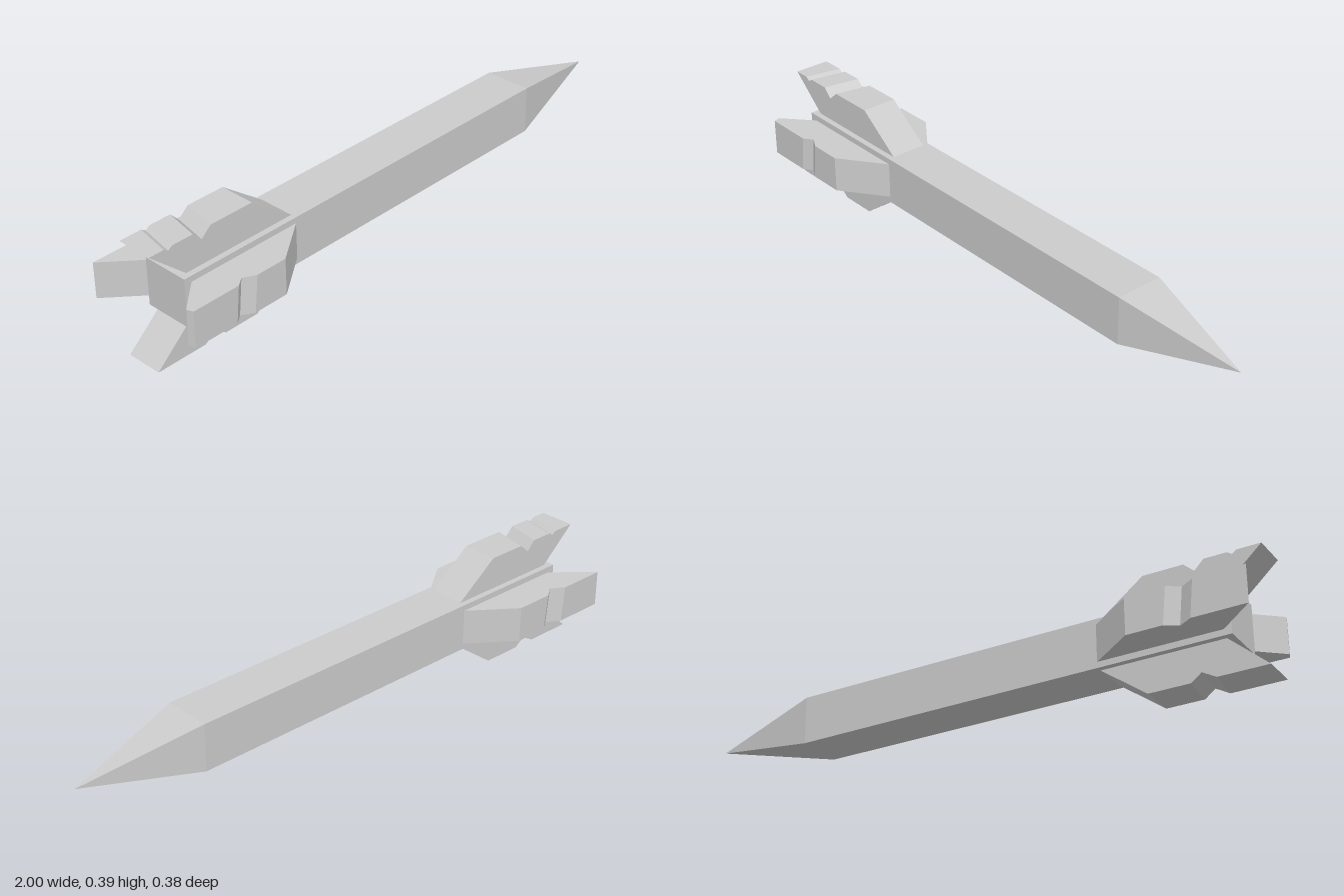
import * as THREE from 'three';

const HALF = 0.081;   // half width of the square body
const AXIS = 0.193;   // height of the body axis
const FIN = 0.122;    // fin thickness
const REACH = 0.193;  // fin tip distance from the axis

const material = new THREE.MeshStandardMaterial({ color: 0xcccccc, flatShading: true });

// Fin outline in (x, distance from axis); rim lists the chipped outer edge, front to back.
// Chips run slightly askew across the thickness.
function makeFin(name, rim, angle, skew) {
  const outline = [[-0.88, 0.07], [-0.46, 0.07], [-0.47, HALF], ...rim, [-0.875, HALF]];
  const shape = new THREE.Shape(outline.map(([x, r]) => new THREE.Vector2(x, r)));
  const geometry = new THREE.ExtrudeGeometry(shape, { depth: FIN, bevelEnabled: false });
  geometry.translate(0, 0, -FIN / 2);
  const p = geometry.attributes.position;
  for (let i = 0; i < p.count; i++) {
    const x = p.getX(i);
    if (p.getY(i) > 0.15 && x < -0.7 && x > -0.96) p.setX(i, x - skew * p.getZ(i));
  }
  geometry.computeVertexNormals();
  const fin = new THREE.Mesh(geometry, material);
  fin.name = name;
  fin.rotation.x = angle;
  return fin;
}

export function createModel() {
  const model = new THREE.Group();
  model.name = 'missile';
  const missile = new THREE.Group();
  missile.name = 'airframe';
  missile.position.y = AXIS;
  model.add(missile);

  // Square body
  const body = new THREE.Mesh(new THREE.BoxGeometry(1.5, HALF * 2, HALF * 2), material);
  body.name = 'body';
  body.position.x = -0.15;
  missile.add(body);

  // Pyramid nose
  const noseGeometry = new THREE.ConeGeometry(HALF * Math.SQRT2, 0.4, 4, 1, true);
  noseGeometry.rotateY(Math.PI / 4).rotateZ(-Math.PI / 2).translate(0.8, 0, 0);
  const nose = new THREE.Mesh(noseGeometry, material);
  nose.name = 'nose';
  missile.add(nose);

  // Four tail fins, each chipped differently
  const R = REACH;
  missile.add(
    makeFin('topFin', [[-0.62, R], [-0.765, R], [-0.8, 0.162], [-0.83, R], [-0.905, R],
      [-0.92, 0.183], [-0.935, R], [-1, R]], 0, 0.2),
    makeFin('frontFin', [[-0.62, 0.19], [-0.735, 0.19], [-0.775, 0.168], [-0.805, 0.19],
      [-0.965, 0.19], [-0.972, 0.168]], Math.PI / 2, 0.1),
    makeFin('bottomFin', [[-0.62, R], [-0.75, R], [-0.785, 0.167], [-0.83, R], [-1, R]], Math.PI, 0.1),
    makeFin('backFin', [[-0.62, R], [-0.745, R], [-0.785, 0.165], [-0.83, R], [-1, R]], -Math.PI / 2, 0.1)
  );
  return model;
}
